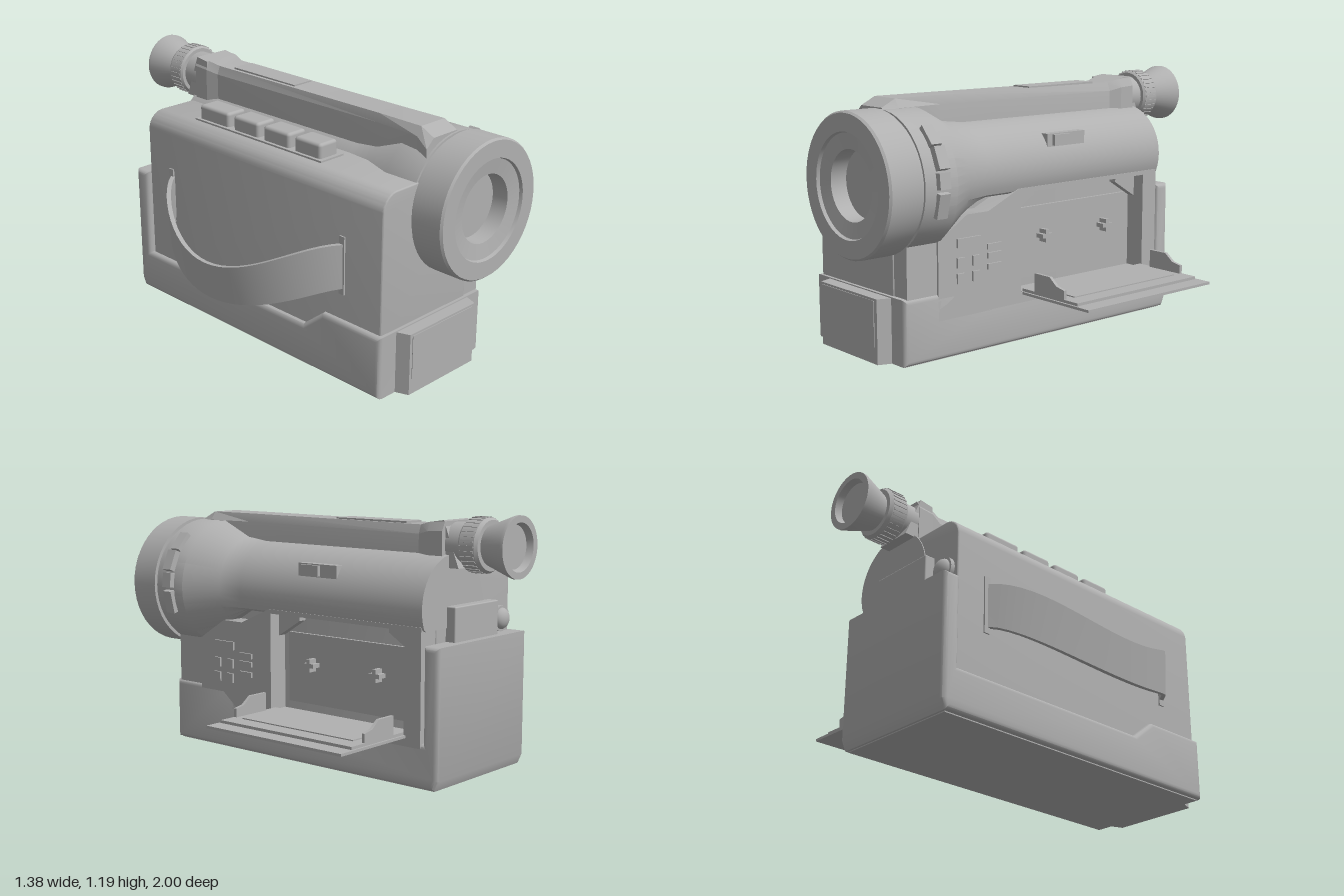
import * as THREE from 'three';
import { toCreasedNormals } from 'three/addons/utils/BufferGeometryUtils.js';
import { RoundedBoxGeometry } from 'three/addons/geometries/RoundedBoxGeometry.js';

const shell = new THREE.MeshStandardMaterial({ color: 0xb0b0b0, side: THREE.DoubleSide });
shell.name = 'grey shell';

export function createModel() {
  const model = new THREE.Group();
  model.name = 'camcorder';

  const add = (name, geo, parent = model) => {
    const m = new THREE.Mesh(geo, shell);
    m.name = name;
    parent.add(m);
    return m;
  };
  const group = (name) => {
    const g = new THREE.Group();
    g.name = name;
    model.add(g);
    return g;
  };
  // box from its limits, optionally rounded
  const box = (name, [x0, x1], [y0, y1], [z0, z1], parent, round = 0) => {
    const s = [x1 - x0, y1 - y0, z1 - z0];
    const g = round ? new RoundedBoxGeometry(...s, 2, round) : new THREE.BoxGeometry(...s);
    g.translate((x0 + x1) / 2, (y0 + y1) / 2, (z0 + z1) / 2);
    return add(name, g, parent);
  };
  const shapeOf = (pts) => new THREE.Shape(pts.map(([a, b]) => new THREE.Vector2(a, b)));
  const extrude = (shape, depth, bevel = 0) => {
    const g = new THREE.ExtrudeGeometry(shape, {
      depth: depth - 2 * bevel, bevelEnabled: bevel > 0, bevelSize: bevel,
      bevelThickness: bevel, bevelOffset: -bevel, bevelSegments: 3, curveSegments: 8,
    });
    g.translate(0, 0, bevel);
    return toCreasedNormals(g, 0.6);
  };
  // side profile given as (z, y), running from x0 to x1
  const sideways = (shape, x0, x1, bevel) =>
    extrude(shape, x1 - x0, bevel).rotateY(-Math.PI / 2).translate(x1, 0, 0);
  // capped skin through cross-sections ordered by rising z
  const loft = (sections, crease = 0.6) => {
    const pos = [];
    const n = sections[0].length;
    const tri = (...p) => p.forEach((v) => pos.push(...v));
    for (let i = 0; i < sections.length - 1; i++) {
      for (let j = 0; j < n; j++) {
        const k = (j + 1) % n, A = sections[i], B = sections[i + 1];
        tri(A[j], A[k], B[k]);
        tri(A[j], B[k], B[j]);
      }
    }
    const first = sections[0], last = sections[sections.length - 1];
    for (let j = 1; j < n - 1; j++) {
      tri(first[0], first[j + 1], first[j]);
      tri(last[0], last[j], last[j + 1]);
    }
    const g = new THREE.BufferGeometry();
    g.setAttribute('position', new THREE.Float32BufferAttribute(pos, 3));
    return toCreasedNormals(g, crease);
  };
  // profile of (radius, z) turned about an axis parallel to z
  const turned = (pts, x, y, sides = 48) => {
    const g = new THREE.LatheGeometry(pts.map(([r, z]) => new THREE.Vector2(r, z)), sides);
    return toCreasedNormals(g.rotateX(Math.PI / 2), 0.5).translate(x, y, 0);
  };

  // base with the upright battery block at the back
  add('base', sideways(shapeOf([[0.84, 0.005], [0.84, 0.3], [0.5, 0.3], [0.38, 0.205], [-0.7, 0.205],
    [-0.7, 0.63], [-0.78, 0.63], [-0.78, 0.05], [-0.76, 0.005]]), -0.42, 0.26, 0.022));
  const frontPanel = shapeOf([[-0.32, -0.82], [0.17, -0.82], [0.14, -0.9], [-0.29, -0.9]].reverse());
  add('frontPanel', extrude(frontPanel, 0.29).rotateX(-Math.PI / 2).translate(0, 0.005, 0));
  box('frontWindow', [-0.275, 0.12], [0.08, 0.285], [0.898, 0.903]);
  box('baseFoot', [-0.395, 0.235], [0, 0.02], [-0.75, 0.83]);

  // main body with one rounded top edge
  const body = new THREE.Shape();
  body.moveTo(-0.395, 0.18);
  body.lineTo(0.16, 0.18);
  body.lineTo(0.16, 0.935);
  body.lineTo(-0.31, 0.935);
  body.absarc(-0.31, 0.85, 0.085, Math.PI / 2, Math.PI, false);
  body.lineTo(-0.395, 0.18);
  add('body', extrude(body, 1.52, 0.006).translate(0, 0, -0.695));
  box('bodyFrontCorner', [0.15, 0.25], [0.18, 0.56], [0.6, 0.82]);

  // right wall with the cassette bay opening
  const wall = shapeOf([[0.66, 0.18], [0.66, 0.53], [0.5, 0.63], [0.38, 0.63], [0.2, 0.71],
    [-0.69, 0.71], [-0.69, 0.18]]);
  wall.holes.push(new THREE.Path([[0.19, 0.23], [-0.6, 0.23], [-0.6, 0.69], [0.19, 0.69]]
    .map(([a, b]) => new THREE.Vector2(a, b))));
  add('bayWall', sideways(wall, 0.15, 0.26));
  const bay = group('cassetteBay');
  box('bayPlate', [0.155, 0.175], [0.27, 0.6], [-0.56, 0.15], bay);
  for (const z of [-0.4, -0.01]) {
    box('spindleUpright', [0.17, 0.22], [0.43, 0.49], [z - 0.01, z + 0.01], bay);
    box('spindleCross', [0.17, 0.22], [0.45, 0.47], [z - 0.03, z + 0.03], bay);
  }
  // slanted fillets in the upper bay corners
  for (const [a, b] of [[0.19, 0.06], [-0.6, -0.47]]) {
    add('bayCorner', sideways(shapeOf([[a, 0.69], [b, 0.69], [b, 0.66], [a, 0.58]]), 0.15, 0.2), bay);
  }

  // barrel, flat underneath, flaring towards the lens: z, centre x, radius, lowest y
  const barrel = [[-0.7, 0.045, 0.225, 0.69], [0.38, 0.045, 0.225, 0.69], [0.5, 0.05, 0.238, 0.62],
    [0.65, 0.08, 0.31, 0.47], [0.82, 0.08, 0.31, 0.47]];
  add('barrel', loft(barrel.map(([z, cx, r, low]) => Array.from({ length: 48 }, (_, i) => {
    const a = (i / 48) * Math.PI * 2;
    return [cx + r * Math.cos(a), Math.max(low, 0.785 + r * Math.sin(a)), z];
  }))));

  // lens ring with a stepped, sunken front
  add('lens', turned([[0.3, 0.8], [0.3, 0.84], [0.316, 0.84], [0.316, 0.99], [0.308, 1], [0.23, 1],
    [0.225, 0.985], [0.155, 0.975], [0.15, 0.9], [0, 0.9]], 0.08, 0.785));

  // focus dial segments on the barrel
  const dial = group('focusDial');
  for (const [deg, len, r] of [[-13, 0.11, 0.315], [6, 0.07, 0.32], [23, 0.1, 0.325], [42, 0.1, 0.315]]) {
    const a = THREE.MathUtils.degToRad(deg);
    const m = add('dialSegment', new THREE.BoxGeometry(0.03, len, 0.055), dial);
    m.position.set(0.08 + r * Math.cos(a), 0.785 + r * Math.sin(a), 0.735);
    m.rotation.z = a;
  }

  // top ridge: z, half width at the top, half width at the foot, top y
  const ridge = [[-0.68, 0.085, 0.105, 1.15], [-0.6, 0.085, 0.105, 1.145], [-0.54, 0.07, 0.085, 1.13],
    [0.5, 0.07, 0.08, 1.135], [0.74, 0.075, 0.1, 1.135], [0.81, 0.075, 0.12, 1.1]];
  add('topRidge', loft(ridge.map(([z, t, f, y]) => [[-f, 0.9, z], [f, 0.9, z], [f, y - 0.04, z],
    [t, y, z], [-t, y, z], [-f, y - 0.04, z]]), 0.3));
  box('ridgeInlay', [-0.055, 0.055], [1.13, 1.139], [-0.45, -0.04]);

  // viewfinder
  const finder = group('viewfinder');
  add('finderMount', sideways(shapeOf([[-0.6, 0.95], [-0.6, 1.145], [-0.67, 1.155], [-0.75, 0.95]]), -0.1, 0.08), finder);
  add('finderTube', turned([[0.095, -0.78], [0.095, -0.66]].reverse(), -0.01, 1.05), finder);
  add('finderRing', turned([[0.06, -0.86], [0.11, -0.86], [0.12, -0.845], [0.12, -0.77], [0.112, -0.76],
    [0.06, -0.76]], -0.01, 1.05, 40), finder);
  add('eyecup', turned([[0, -0.97], [0.095, -0.97], [0.105, -1], [0.135, -1], [0.135, -0.985],
    [0.085, -0.85]], -0.01, 1.05), finder);
  for (let i = 0; i < 32; i++) {
    const a = (i / 32) * Math.PI * 2;
    const rib = add('ringRib', new THREE.BoxGeometry(0.006, 0.01, 0.07), finder);
    rib.position.set(-0.01 + 0.12 * Math.cos(a), 1.05 + 0.12 * Math.sin(a), -0.807);
    rib.rotation.z = a;
  }

  // top buttons in their tray
  const buttons = group('topButtons');
  box('buttonTray', [-0.305, -0.165], [0.93, 0.943], [-0.45, 0.38], buttons);
  for (const [z0, z1] of [[-0.435, -0.235], [-0.2, -0.035], [0, 0.165], [0.2, 0.36]]) {
    box('topButton', [-0.29, -0.18], [0.92, 1.01], [z0, z1], buttons, 0.015);
  }

  // zoom switch and small side keys
  const keys = group('sideKeys');
  box('switchPlate', [0.2, 0.25], [0.88, 0.94], [-0.21, 0.02], keys);
  box('switchKnob', [0.22, 0.265], [0.885, 0.935], [-0.11, -0.01], keys);
  box('wideKey', [0.25, 0.27], [0.49, 0.53], [0.43, 0.56], keys);
  for (const z of [0.435, 0.52]) {
    for (const y of [0.33, 0.4]) box('smallKey', [0.25, 0.27], [y, y + 0.045], [z, z + 0.04], keys);
  }
  for (const y of [0.37, 0.42, 0.46]) box('barKey', [0.25, 0.27], [y, y + 0.025], [0.31, 0.39], keys);

  // open door, lying flat
  const door = group('door');
  box('doorOuter', [0.25, 0.69], [0.22, 0.232], [-0.61, 0.18], door);
  box('doorInner', [0.25, 0.61], [0.23, 0.245], [-0.6, 0.17], door);
  box('doorWindow', [0.33, 0.53], [0.243, 0.25], [-0.54, 0.11], door);
  box('doorUnderWindow', [0.33, 0.53], [0.216, 0.223], [-0.54, 0.11], door);
  const tab = shapeOf([[0.33, 0.24], [0.525, 0.24], [0.525, 0.285], [0.475, 0.295], [0.43, 0.33], [0.33, 0.33]]);
  for (const z of [-0.6, 0.155]) add('doorTab', extrude(tab, 0.015).translate(0, 0, z), door);

  // hand strap: an arc that tilts and drops outwards
  const strap = Array.from({ length: 29 }, (_, i) => {
    const a = (i / 28 - 0.5) * 2 * 0.93;
    const s = Math.max(0, (0.42 * -1 + 0.7 * Math.cos(a)) / 0.28);
    const at = (r, y, tilt) => [0.02 - r * Math.cos(a) + tilt * s, y, 0.04 + r * Math.sin(a)];
    const top = 0.655 - 0.175 * s * s, low = 0.45 - 0.15 * s ** 1.5;
    return [at(0.71, low, 0.03), at(0.69, low, 0.03), at(0.69, top, 0), at(0.71, top, 0)];
  });
  add('handStrap', loft(strap));
  for (const z of [-0.53, 0.6]) box('strapSlot', [-0.402, -0.39], [0.42, 0.69], [z - 0.015, z + 0.015]);

  // rear fittings
  box('rearBlock', [-0.24, 0.09], [0.6, 0.785], [-0.745, -0.68], undefined, 0.006);
  add('recordButtonCollar', turned([[0, -0.715], [0.06, -0.715], [0.06, -0.68]], -0.315, 0.69, 24));
  add('recordButton', new THREE.SphereGeometry(0.05, 20, 12).scale(1, 1, 0.7).translate(-0.315, 0.69, -0.71));
  return model;
}
